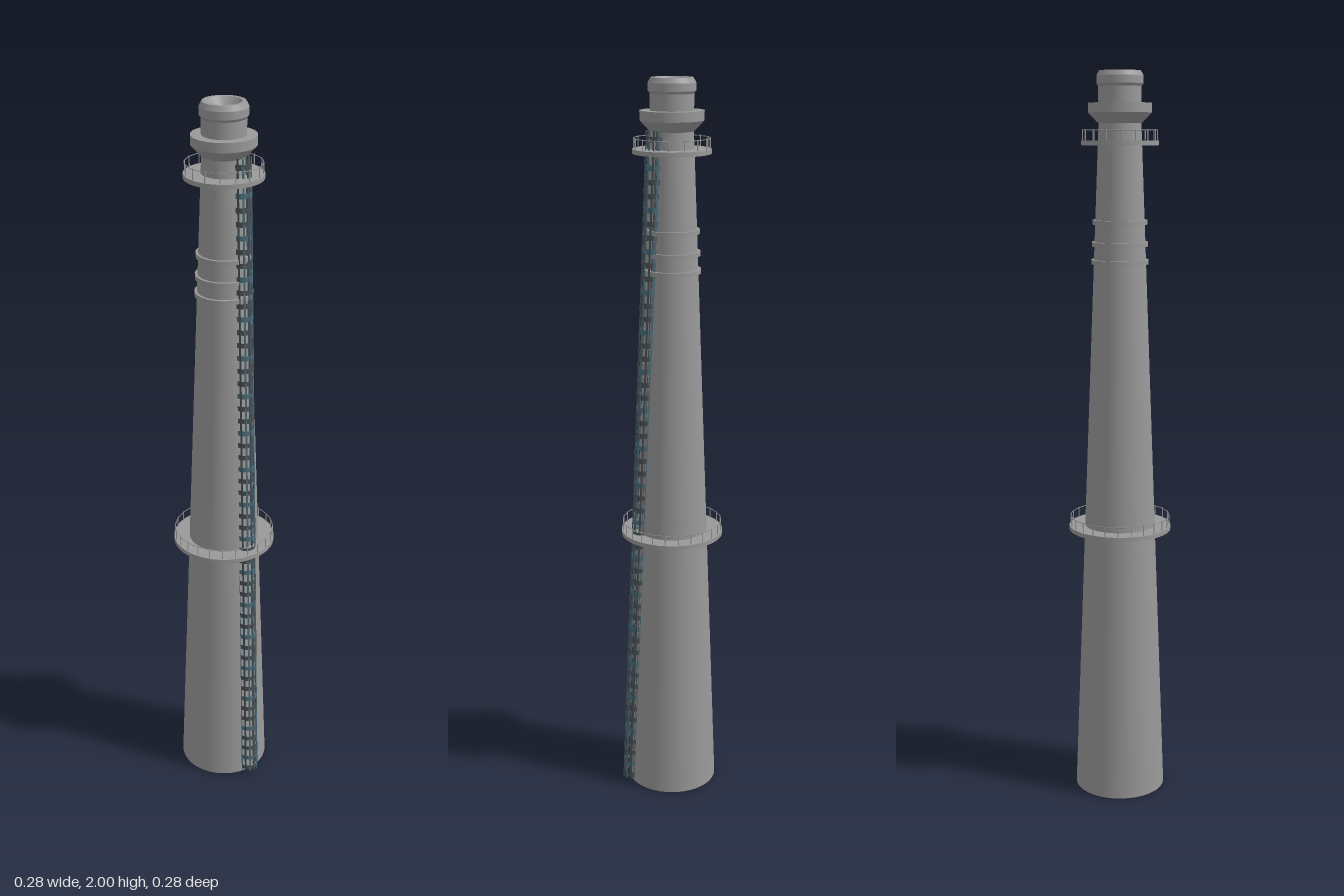
import * as THREE from 'three';

const mat = (name, color, side = THREE.FrontSide) => {
  const m = new THREE.MeshStandardMaterial({ color, side });
  m.name = name;
  return m;
};

export function createModel() {
  const concrete = mat('concrete grey', 0x999999);
  const steel = mat('dark steel', 0x4a4f52, THREE.DoubleSide);
  const teal = mat('weathered teal', 0x4a6e7c, THREE.DoubleSide);
  const model = new THREE.Group();
  model.name = 'chimney';

  const add = (parent, name, geometry, material, x = 0, y = 0, z = 0) => {
    const mesh = new THREE.Mesh(geometry, material);
    mesh.name = name;
    mesh.position.set(x, y, z);
    parent.add(mesh);
    return mesh;
  };
  // Stack of cone bands, each with its own normals so the rims stay sharp
  const bands = (name, profile) => {
    const group = new THREE.Group();
    group.name = name;
    for (let i = 0; i < profile.length - 1; i++) {
      const pts = [profile[i], profile[i + 1]].map(([r, y]) => new THREE.Vector2(r, y));
      add(group, name + 'Band', new THREE.LatheGeometry(pts, 48), concrete);
    }
    model.add(group);
  };

  // Tapered shaft
  const shaftRadius = (y) => 0.126 - 0.0372 * y;
  bands('shaft', [[0, 0], [0.126, 0], [shaftRadius(1.87), 1.87]]);

  // Flared crown, neck and hollow mouth
  bands('crown', [[0.05, 1.86], [0.062, 1.87], [0.084, 1.893], [0.084, 1.918], [0.057, 1.918],
    [0.057, 1.96], [0.062, 1.967], [0.062, 1.987], [0.055, 2], [0.045, 2], [0.022, 1.97], [0, 1.97]]);

  // Raised rings under the upper platform
  for (const y of [1.503, 1.55, 1.608]) {
    const r = shaftRadius(y) + 0.007;
    add(model, 'raisedRing', new THREE.CylinderGeometry(r, r, 0.012, 48), concrete, 0, y, 0);
  }

  // Round platforms with posts and a thin handrail
  const platform = (name, y, r, posts) => {
    const group = new THREE.Group();
    group.name = name;
    group.position.y = y;
    add(group, 'deck', new THREE.CylinderGeometry(r, r, 0.012, 48), concrete);
    for (let i = 0; i < posts; i++) {
      const a = ((i + 0.5) / posts) * Math.PI * 2;
      const p = r - 0.004;
      add(group, 'post', new THREE.CylinderGeometry(0.0016, 0.0016, 0.03, 6), concrete,
        Math.sin(a) * p, 0.02, Math.cos(a) * p);
    }
    const rail = new THREE.TorusGeometry(r - 0.004, 0.0011, 5, 48).rotateX(Math.PI / 2);
    add(group, 'handrail', rail, concrete, 0, 0.033, 0);
    model.add(group);
  };
  platform('lowerPlatform', 0.766, 0.141, 24);
  platform('upperPlatform', 1.815, 0.103, 16);

  // Caged ladder leaning along the shaft
  const ladder = new THREE.Group();
  ladder.name = 'cagedLadder';
  model.add(ladder);
  const foot = new THREE.Vector3(0.065, 0.005, 0.103);
  const head = new THREE.Vector3(0.039, 1.87, 0.031);
  const lean = head.clone().sub(foot);
  const facing = 0.6, cageRadius = 0.027;
  const bar = (name, angle, r, width, depth, material) => {
    const mesh = add(ladder, name, new THREE.BoxGeometry(width, lean.length(), depth), material);
    mesh.position.copy(foot).addScaledVector(lean, 0.5);
    mesh.position.x += Math.sin(angle) * r;
    mesh.position.z += Math.cos(angle) * r;
    const tilt = new THREE.Quaternion().setFromUnitVectors(new THREE.Vector3(0, 1, 0), lean.clone().normalize());
    const turn = new THREE.Quaternion().setFromAxisAngle(new THREE.Vector3(0, 1, 0), angle);
    mesh.quaternion.copy(tilt).multiply(turn);
  };
  // Vertical cage strips
  for (let i = -3; i <= 3; i++) {
    bar('cageStrip', facing + i * 0.52, cageRadius - 0.001, 0.005, 0.002, i % 2 ? teal : steel);
  }
  // Ladder rails
  for (const s of [-1, 1]) bar('ladderRail', facing + s * 1.4, 0.015, 0.004, 0.004, steel);
  // Hoops and rungs
  const steps = 52;
  for (let i = 0; i < steps; i++) {
    const c = foot.clone().addScaledVector(lean, (i + 0.4) / steps);
    const hoop = new THREE.CylinderGeometry(cageRadius, cageRadius, 0.014, 14, 1, true, facing - 1.9, 3.8);
    add(ladder, 'cageHoop', hoop, i % 3 === 1 ? teal : steel, c.x, c.y, c.z);
    const rung = add(ladder, 'rung', new THREE.BoxGeometry(0.03, 0.004, 0.004), teal, c.x, c.y + 0.012, c.z);
    rung.rotation.y = facing;
  }
  return model;
}
